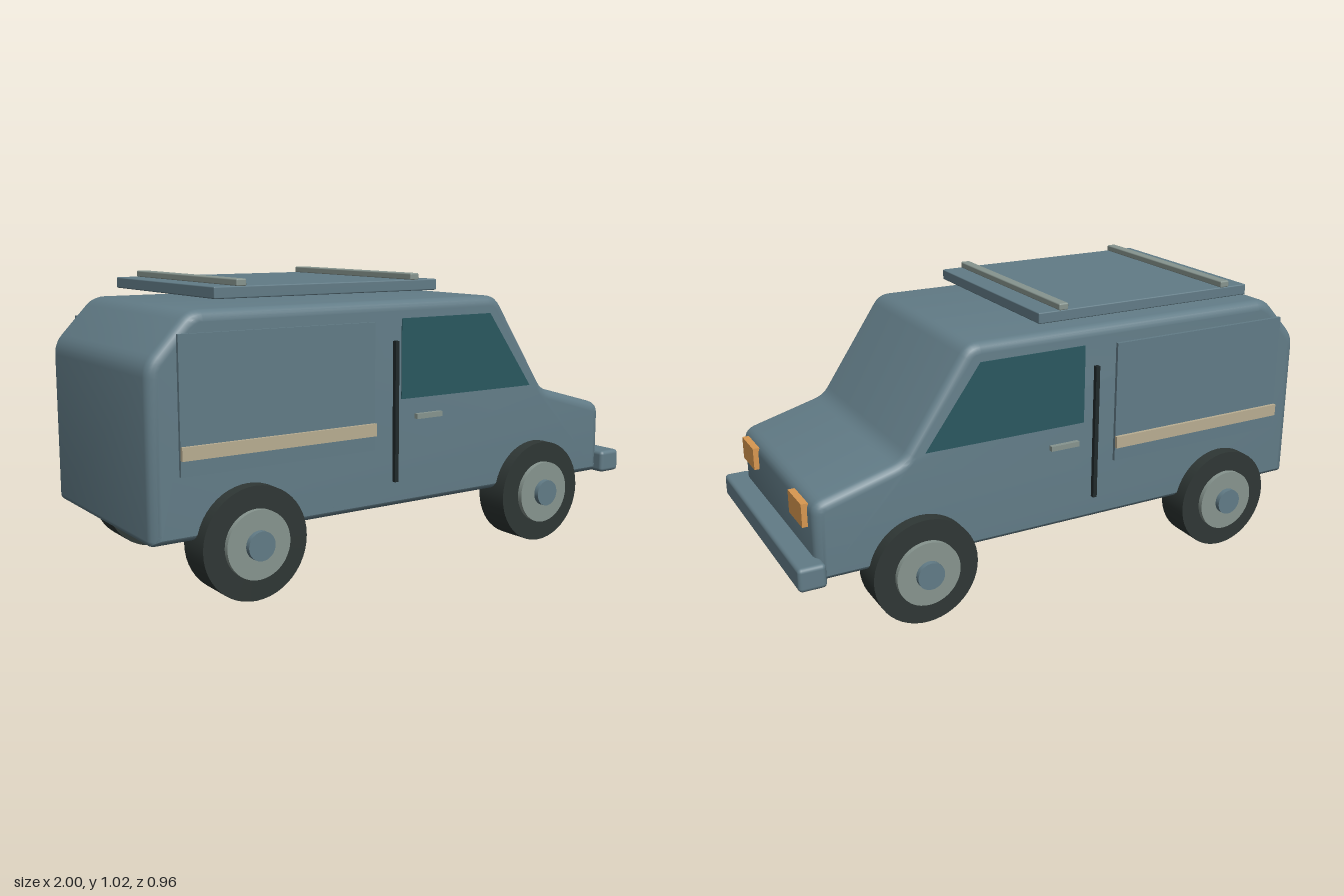
import * as THREE from 'three';
import { toCreasedNormals } from 'three/addons/utils/BufferGeometryUtils.js';
import { RoundedBoxGeometry } from 'three/addons/geometries/RoundedBoxGeometry.js';

function material(name, color) {
  const m = new THREE.MeshStandardMaterial({ color });
  m.name = name;
  return m;
}

// Closed outline whose corners [x, y, radius] are softened with curves
function roundedShape(corners) {
  const shape = new THREE.Shape();
  const n = corners.length;
  corners.forEach(([x, y, r], i) => {
    const p = new THREE.Vector2(x, y);
    const towards = ([a, b]) => new THREE.Vector2(a, b).sub(p).setLength(r).add(p);
    const start = towards(corners[(i + n - 1) % n]);
    const end = towards(corners[(i + 1) % n]);
    if (i === 0) shape.moveTo(start.x, start.y);
    else shape.lineTo(start.x, start.y);
    shape.quadraticCurveTo(x, y, end.x, end.y);
  });
  shape.closePath();
  return shape;
}

export function createModel() {
  const van = new THREE.Group();
  van.name = 'van';

  const paint = material('blue grey paint', 0x627c87);
  const glass = material('teal glass', 0x2a5860);
  const rubber = material('tyre rubber', 0x2f3735);
  const metal = material('pale metal', 0x87958f);
  const cream = material('cream stripe', 0xb9ae92);
  const amber = material('amber lamp', 0xd99850);
  const seam = material('dark seam', 0x20292b);

  function add(name, geometry, mat, x = 0, y = 0, z = 0, parent = van) {
    const mesh = new THREE.Mesh(geometry, mat);
    mesh.name = name;
    mesh.position.set(x, y, z);
    parent.add(mesh);
    return mesh;
  }

  // Box given by its extents along each axis
  function box(name, mat, [x0, x1], [y0, y1], [z0, z1], radius = 0) {
    const size = [x1 - x0, y1 - y0, z1 - z0];
    const geometry = radius
      ? new RoundedBoxGeometry(...size, 3, radius)
      : new THREE.BoxGeometry(...size);
    return add(name, geometry, mat, (x0 + x1) / 2, (y0 + y1) / 2, (z0 + z1) / 2);
  }

  // Body shell: side profile extruded across the width with soft edges
  const bevel = 0.035;
  const half = 0.398;
  const profile = roundedShape([
    [-1, 0.214, 0.02], [0.927, 0.214, 0.02], [0.927, 0.486, 0.04],
    [0.618, 0.572, 0.035], [0.376, 0.932, 0.04], [-0.853, 0.932, 0.04], [-1, 0.775, 0.04],
  ]);
  const shell = new THREE.ExtrudeGeometry(profile, {
    depth: 2 * (half - bevel), curveSegments: 5,
    bevelEnabled: true, bevelSize: bevel, bevelOffset: -bevel, bevelThickness: bevel, bevelSegments: 5,
  });
  shell.translate(0, 0, -(half - bevel));
  add('bodyShell', toCreasedNormals(shell, 0.6), paint);

  // Front bumper
  box('frontBumper', paint, [0.905, 1], [0.216, 0.3], [-0.437, 0.437], 0.015);

  // Roof board with two cross bars
  box('roofBoard', paint, [-0.76, 0.108], [0.96, 0.998], [-0.375, 0.375], 0.004);
  for (const x of [-0.664, 0.012]) {
    box('roofBar', metal, [x - 0.018, x + 0.018], [0.996, 1.02], [-0.375, 0.375], 0.005);
  }

  // Door window plate
  const windowShape = new THREE.Shape([
    new THREE.Vector2(-0.06, 0.592), new THREE.Vector2(0.54, 0.592),
    new THREE.Vector2(0.338, 0.87), new THREE.Vector2(-0.06, 0.87),
  ]);
  const windowPlate = new THREE.ExtrudeGeometry(windowShape, { depth: 0.008, bevelEnabled: false });
  windowPlate.translate(0, 0, -0.004);

  // Wheel parts, axles along z
  const disc = (r, depth, sides) =>
    new THREE.CylinderGeometry(r, r, depth, sides).rotateX(Math.PI / 2);
  const tyre = disc(0.188, 0.13, 48);
  const rim = disc(0.114, 0.018, 40);
  const cap = disc(0.048, 0.02, 32);

  for (const s of [1, -1]) {
    const span = (a, b) => (s > 0 ? [a, b] : [-b, -a]);

    add('doorWindow', windowPlate, glass, 0, 0, s * 0.397);
    box('cargoPanel', paint, [-0.905, -0.183], [0.429, 0.864], span(0.403, 0.415));
    box('cargoStripe', cream, [-0.905, -0.183], [0.48, 0.523], span(0.415, 0.427));
    box('doorSeam', seam, [-0.105, -0.09], [0.31, 0.797], span(0.41, 0.426));
    box('doorHandle', metal, [-0.02, 0.09], [0.524, 0.542], span(0.423, 0.439));
    box('headlamp', amber, [0.922, 0.946], [0.392, 0.473], span(0.2, 0.335));

    for (const [name, x] of [['rearWheel', -0.664], ['frontWheel', 0.567]]) {
      const wheel = new THREE.Group();
      wheel.name = name;
      wheel.position.set(x, 0.19, 0);
      van.add(wheel);
      add('tyre', tyre, rubber, 0, 0, s * 0.379, wheel);
      add('rim', rim, metal, 0, 0, s * 0.454, wheel);
      add('hubCap', cap, paint, 0, 0, s * 0.472, wheel);
    }
  }

  return van;
}
